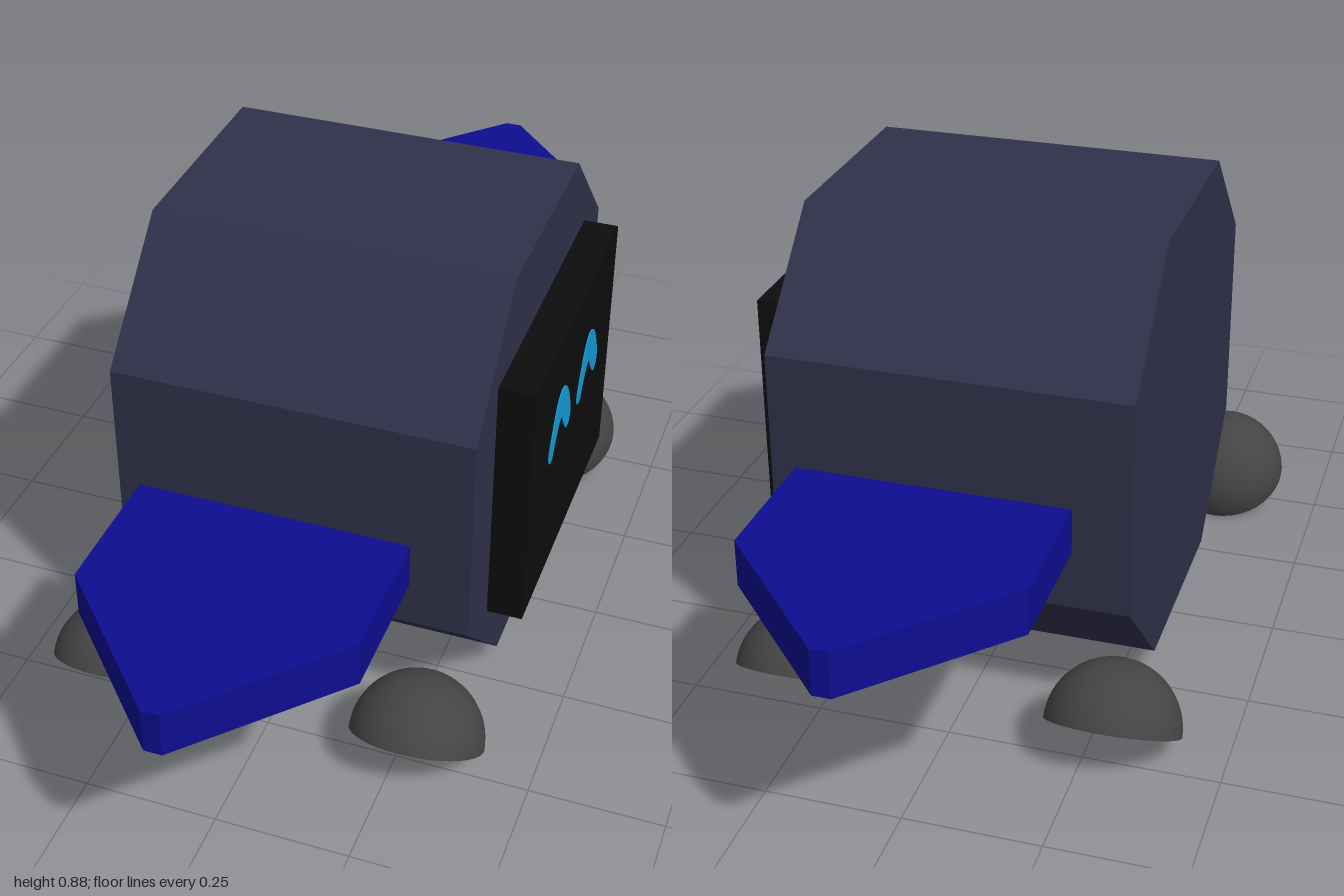
import * as THREE from 'three';

const material = (name, color) => {
  const m = new THREE.MeshStandardMaterial({ color });
  m.name = name;
  return m;
};

const shapeOf = (points) => new THREE.Shape(points.map(([x, y]) => new THREE.Vector2(x, y)));
const extrude = (shape, depth) => new THREE.ExtrudeGeometry(shape, { depth, bevelEnabled: false });

export function createModel() {
  const shell = material('slate shell', 0x30304a);
  const black = material('screen black', 0x0d0d0d);
  const blue = material('arm blue', 0x0d0d90);
  const grey = material('foot grey', 0x444444);
  const cyan = material('eye cyan', 0x119ad6);

  const model = new THREE.Group();
  const add = (name, geometry, mat, x = 0, y = 0, z = 0) => {
    const mesh = new THREE.Mesh(geometry, mat);
    mesh.name = name;
    mesh.position.set(x, y, z);
    model.add(mesh);
    return mesh;
  };

  // Octagonal body, extruded along x
  const a = 0.416, b = 0.207;
  const octagon = shapeOf([[-b, -a], [b, -a], [a, -b], [a, b], [b, a], [-b, a], [-a, b], [-a, -b]]);
  add('body', extrude(octagon, 0.664).rotateY(Math.PI / 2), shell, -0.31, 0.462, 0);

  // Face screen on the +x end
  add('screen', new THREE.BoxGeometry(0.066, 0.5, 0.586), black, 0.387, 0.461, 0.002);

  // Arched eyes, thin plates on the screen
  const outline = [
    [-0.075, 0.018], [-0.068, 0.002], [-0.05, 0.002], [-0.036, 0.022], [0, 0.058],
    [0.032, 0.02], [0.05, 0.003], [0.068, 0.006], [0.075, 0.025], [0.058, 0.07],
    [0.03, 0.11], [0, 0.123], [-0.03, 0.107], [-0.055, 0.067],
  ].map(([x, y]) => new THREE.Vector3(x, y, 0));
  const smooth = new THREE.CatmullRomCurve3(outline, true).getPoints(56).slice(0, -1);
  const eyeGeometry = extrude(shapeOf(smooth.map((p) => [p.x, p.y])), 0.003).rotateY(Math.PI / 2);
  add('leftEye', eyeGeometry, cyan, 0.419, 0.47, 0.097);
  add('rightEye', eyeGeometry, cyan, 0.419, 0.464, -0.105);

  // Floating pointed arms, one on each side
  const armShape = shapeOf([
    [-0.248, 0.5], [0.248, 0.5], [0.248, 0.752], [0.016, 1], [-0.016, 1], [-0.248, 0.752],
  ]);
  const armGeometry = extrude(armShape, 0.085).rotateX(Math.PI / 2);
  add('frontArm', armGeometry, blue, 0.022, 0.505, 0);
  add('backArm', armGeometry, blue, 0.022, 0.505, 0).rotation.y = Math.PI;

  // Half-ball feet, soles tilted outwards
  const r = 0.124;
  const dome = new THREE.SphereGeometry(r, 40, 16, 0, Math.PI * 2, 0, Math.PI / 2);
  const sole = new THREE.CircleGeometry(r, 40).rotateX(Math.PI / 2);
  for (const [end, z, tilt] of [['front', 0.5, -1], ['back', -0.48, 1]]) {
    for (const [side, x] of [['Left', 0.289], ['Right', -0.299]]) {
      const foot = new THREE.Group();
      foot.name = `${end}${side}Foot`;
      for (const [name, geometry] of [['dome', dome], ['sole', sole]]) {
        const mesh = new THREE.Mesh(geometry, grey);
        mesh.name = name;
        foot.add(mesh);
      }
      foot.position.set(x, 0.0625, z);
      foot.rotation.x = tilt * Math.PI / 6;
      model.add(foot);
    }
  }
  return model;
}
